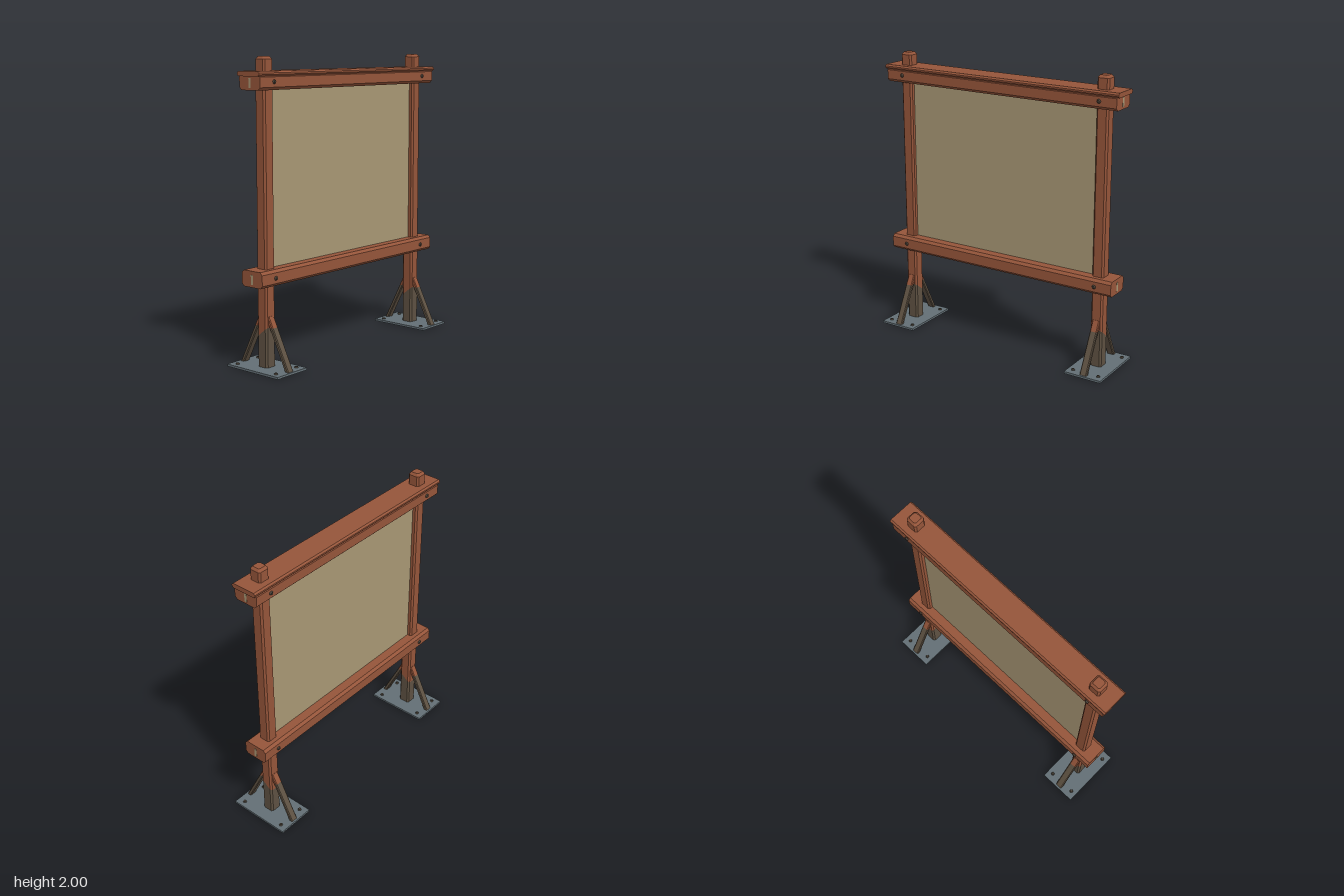
import * as THREE from 'three';

const paint = (name, color) => new THREE.MeshStandardMaterial({ name, color });

// Octagonal outline: a rectangle with cut corners
function cutRect(w, h, c) {
  const x = w / 2, y = h / 2;
  return new THREE.Shape([
    [x - c, -y], [x, -y + c], [x, y - c], [x - c, y],
    [-x + c, y], [-x, y - c], [-x, -y + c], [-x + c, -y],
  ].map(([a, b]) => new THREE.Vector2(a, b)));
}

// Upright bar; bottom(z) and top(z) give its end heights, shift(y) slants it in z
function upright(w, d, c, bottom, top, shift = () => 0) {
  const geo = new THREE.ExtrudeGeometry(cutRect(w, d, c), { depth: 1, bevelEnabled: false });
  geo.rotateX(-Math.PI / 2);
  const p = geo.attributes.position;
  for (let i = 0; i < p.count; i++) {
    const z = p.getZ(i);
    const y = p.getY(i) > 0.5 ? top(z) : bottom(z);
    p.setXYZ(i, p.getX(i), y, z + shift(y));
  }
  geo.computeVertexNormals();
  return geo;
}

// Level bar along x
function beam(length, h, d, c) {
  const geo = new THREE.ExtrudeGeometry(cutRect(d, h, c), { depth: length, bevelEnabled: false });
  return geo.translate(0, 0, -length / 2).rotateY(Math.PI / 2);
}

export function createModel() {
  const wood = paint('wood', 0x95553a);
  const panelTan = paint('panelTan', 0xa89774);
  const steel = paint('steel', 0x636f75);
  const stain = paint('darkStain', 0x5e5142);
  const boltDark = paint('boltDark', 0x4a4238);

  const model = new THREE.Group();
  model.name = 'signBoard';
  const add = (parent, name, geo, mat, x = 0, y = 0, z = 0) => {
    const mesh = new THREE.Mesh(geo, mat);
    mesh.name = name;
    mesh.position.set(x, y, z);
    parent.add(mesh);
    return mesh;
  };
  const at = (y) => () => y;

  // Display panel
  add(model, 'panel', new THREE.BoxGeometry(1.5, 1.2, 0.018), panelTan, 0, 1.225, 0);

  // Rails, with the panel tongue showing at their ends
  for (const [name, y, h] of [['lowerRail', 0.606, 0.106], ['upperRail', 1.842, 0.1]]) {
    add(model, name, beam(1.79, h, 0.18, 0.018), wood, 0, y, 0);
    for (const s of [-1, 1]) {
      add(model, 'railTongue', new THREE.BoxGeometry(0.006, 0.062, 0.018), panelTan,
        s * 0.894, y - 0.004, 0);
    }
  }
  add(model, 'capBoard', beam(1.82, 0.032, 0.19, 0.011), wood, 0, 1.894, 0);

  // Post assemblies
  const stainLine = (z) => 0.245 + 0.8 * z;
  for (const side of [-1, 1]) {
    const leg = new THREE.Group();
    leg.name = side > 0 ? 'leftLeg' : 'rightLeg';
    leg.position.x = side * 0.77;
    model.add(leg);

    add(leg, 'basePlate', new THREE.BoxGeometry(0.272, 0.015, 0.45), steel, 0, 0.0075, 0);
    add(leg, 'postFoot', upright(0.085, 0.085, 0.012, at(0.015), stainLine), stain);
    add(leg, 'post', upright(0.085, 0.085, 0.012, stainLine, at(1.982)), wood);

    // Tapered post top
    const tip = upright(0.085, 0.085, 0.012, at(1.982), at(2));
    const p = tip.attributes.position;
    for (let i = 0; i < p.count; i++) {
      if (p.getY(i) > 1.99) p.setXYZ(i, p.getX(i) * 0.68, 2, p.getZ(i) * 0.68);
    }
    tip.computeVertexNormals();
    add(leg, 'postTip', tip, wood);

    for (const s of [-1, 1]) {
      // Slanted brace, stained at its lower end
      const lean = (y) => s * (0.197 - (y - 0.015) * 0.5);
      add(leg, 'braceFoot', upright(0.052, 0.03, 0.006, at(0.015), at(0.28), lean), stain);
      add(leg, 'braceTop', upright(0.052, 0.03, 0.006, at(0.28), at(0.35), lean), wood);

      // Plate bolts
      for (const bx of [-0.095, 0.095]) {
        add(leg, 'plateBolt', new THREE.CylinderGeometry(0.009, 0.013, 0.009, 8), boltDark,
          bx, 0.0195, s * 0.172);
      }
      // Rail bolts
      for (const y of [0.605, 1.844]) {
        const bolt = add(leg, 'railBolt', new THREE.CylinderGeometry(0.009, 0.015, 0.009, 8),
          boltDark, 0, y, s * 0.0945);
        bolt.rotation.x = s * Math.PI / 2;
      }
    }
  }
  return model;
}
